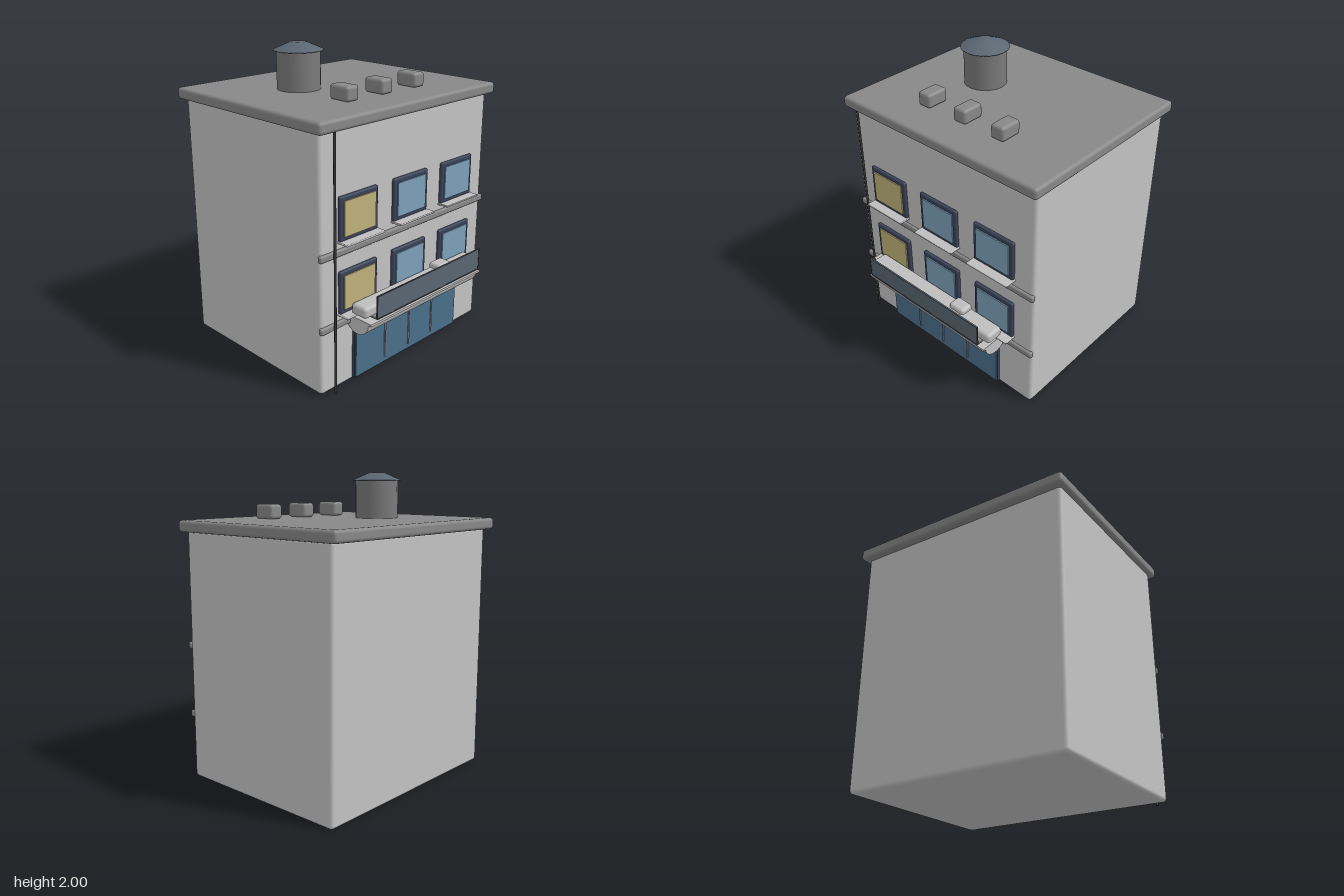
import * as THREE from 'three';
import { RoundedBoxGeometry } from 'three/addons/geometries/RoundedBoxGeometry.js';

function material(name, color) {
  const m = new THREE.MeshStandardMaterial({ color });
  m.name = name;
  return m;
}

export function createModel() {
  const wall = material('wall', 0xc4c4c4);
  const trim = material('greyTrim', 0x888888);
  const tankGrey = material('tankGrey', 0x7a7a7a);
  const pale = material('paleStone', 0xbebebe);
  const navy = material('navyFrame', 0x3a4259);
  const blue = material('windowBlue', 0x7ea2bb);
  const yellow = material('litWindow', 0xc0b27a);
  const shop = material('shopGlass', 0x4a708c);
  const slate = material('slate', 0x5a6672);
  const dark = material('darkMetal', 0x383838);

  const model = new THREE.Group();
  model.name = 'building';

  const add = (name, geometry, mat, x = 0, y = 0, z = 0, parent = model) => {
    const mesh = new THREE.Mesh(geometry, mat);
    mesh.name = name;
    mesh.position.set(x, y, z);
    parent.add(mesh);
    return mesh;
  };
  // Box given by its limits on each axis; r > 0 rounds the edges
  const box = (name, mat, [x0, x1], [y0, y1], [z0, z1], r = 0, parent = model) => {
    const s = [x1 - x0, y1 - y0, z1 - z0];
    const g = r ? new RoundedBoxGeometry(...s, 2, r) : new THREE.BoxGeometry(...s);
    return add(name, g, mat, (x0 + x1) / 2, (y0 + y1) / 2, (z0 + z1) / 2, parent);
  };

  // Main block and roof slab
  box('walls', wall, [-0.7, 0.54], [0, 1.645], [-0.762, 0.762], 0.025);
  box('roofSlab', trim, [-0.752, 0.588], [1.63, 1.705], [-0.795, 0.795], 0.022);

  // Roof vents
  for (const z of [-0.3, 0, 0.3])
    box('roofVent', trim, [0.195, 0.35], [1.705, 1.8], [z - 0.05, z + 0.05], 0.02);

  // Water tank with a shallow cap
  const tank = new THREE.Group();
  tank.name = 'waterTank';
  tank.position.set(-0.17, 1.7, 0.265);
  model.add(tank);
  add('tankBody', new THREE.CylinderGeometry(0.14, 0.14, 0.25, 20), tankGrey, 0, 0.125, 0, tank);
  const capProfile = [[0, 0], [0.16, 0], [0.16, 0.003], [0.05, 0.05], [0, 0.05]]
    .map(([r, y]) => new THREE.Vector2(r, y));
  add('tankCap', new THREE.LatheGeometry(capProfile, 20), slate, 0, 0.25, 0, tank);

  // String courses across the facade
  for (const y of [0.435, 0.897])
    box('stringCourse', trim, [0.525, 0.558], [y - 0.022, y + 0.022], [-0.768, 0.768], 0.012);

  // Windows: two rows of three, the left column lit
  for (const y of [0.5, 0.965]) {
    for (const z of [-0.458, 0, 0.458]) {
      const w = new THREE.Group();
      w.name = 'window';
      model.add(w);
      box('windowFrame', navy, [0.525, 0.56], [y, y + 0.275], [z - 0.158, z + 0.158], 0.01, w);
      box('windowPane', z > 0.4 ? yellow : blue, [0.56, 0.568],
        [y + 0.028, y + 0.247], [z - 0.13, z + 0.13], 0, w);
      box('windowSill', pale, [0.535, 0.622], [y - 0.01, y + 0.003], [z - 0.164, z + 0.164], 0.005, w);
    }
  }

  // Shopfront with mullions
  box('shopFrame', navy, [0.53, 0.559], [0.018, 0.41], [-0.498, 0.498]);
  box('shopGlass', shop, [0.559, 0.567], [0.025, 0.405], [-0.49, 0.49]);
  for (const z of [-0.23, 0, 0.23])
    box('shopMullion', trim, [0.567, 0.573], [0.06, 0.375], [z - 0.006, z + 0.006]);

  // Half-drum awning hanging under a flat canopy board
  const drum = new THREE.Shape();
  drum.absarc(0, 0, 0.093, Math.PI, Math.PI * 2, false);
  drum.closePath();
  add('awning', new THREE.ExtrudeGeometry(drum, { depth: 1.066, bevelEnabled: false, curveSegments: 20 }),
    wall, 0.615, 0.458, -0.533);
  box('canopyBoard', pale, [0.54, 0.732], [0.455, 0.47], [-0.535, 0.535]);

  // Housing over the canopy, with a small unit on it
  box('canopyHousing', pale, [0.575, 0.697], [0.49, 0.563], [-0.547, 0.547], 0.022);
  box('housingUnit', pale, [0.575, 0.668], [0.5, 0.597], [-0.297, -0.175], 0.02);

  // Blank sign board on its ledge
  box('signLedge', trim, [0.56, 0.745], [0.492, 0.503], [-0.495, 0.495]);
  box('signBoard', slate, [0.737, 0.745], [0.497, 0.645], [-0.495, 0.495]);
  const edge = 0.004;
  for (const y of [0.497, 0.645 - edge])
    box('signEdge', dark, [0.736, 0.747], [y, y + edge], [-0.497, 0.497]);
  for (const s of [-1, 1])
    add('signEdge', new THREE.BoxGeometry(0.011, 0.148, edge), dark, 0.7415, 0.571, s * 0.495);

  // Drainpipe
  add('drainpipe', new THREE.CylinderGeometry(0.008, 0.008, 1.635, 10), dark, 0.576, 0.8175, 0.675);

  return model;
}
